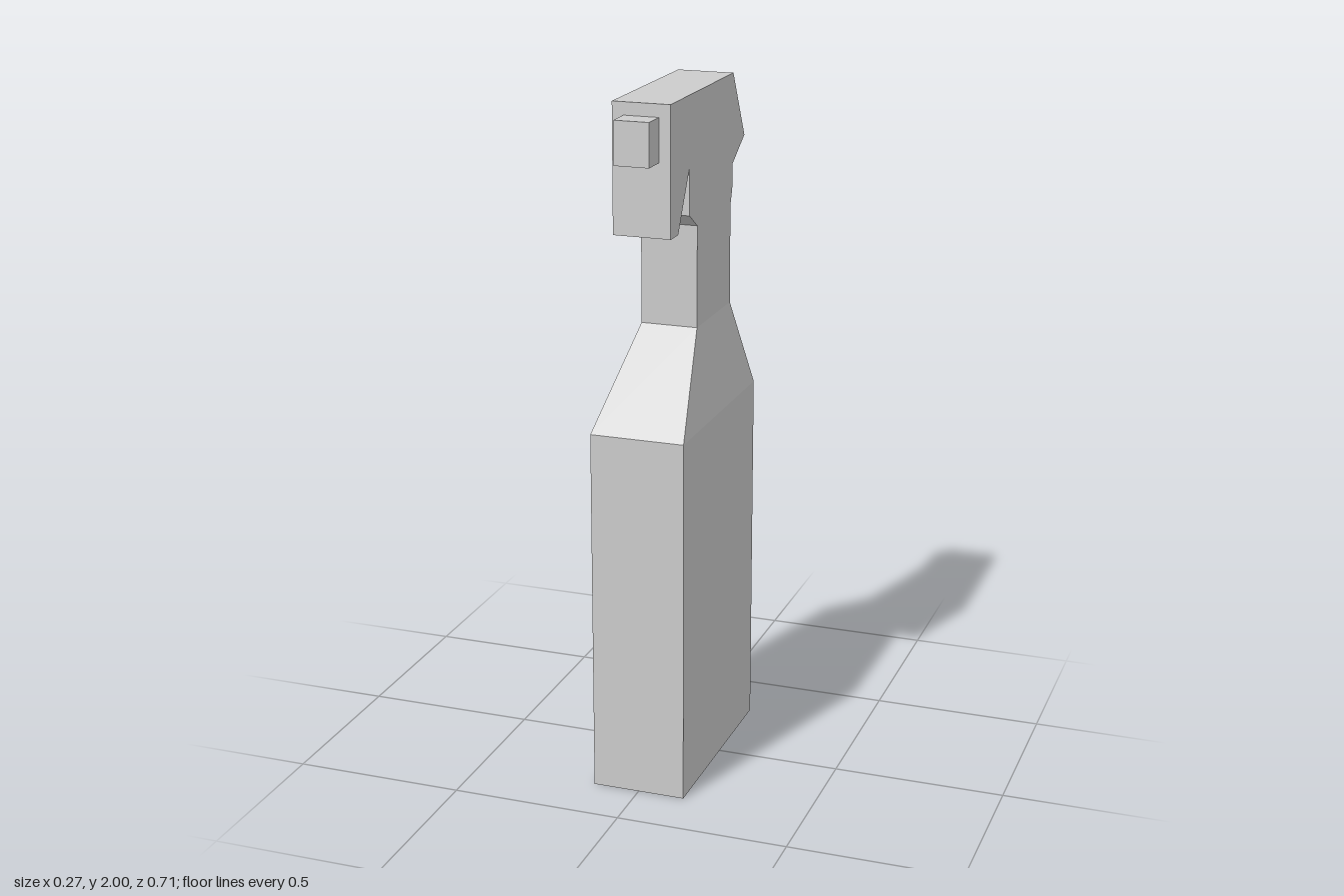
import * as THREE from 'three';

const material = new THREE.MeshStandardMaterial({ color: 0xcccccc, flatShading: true });
const HALF_NECK = 0.083;

// Rectangular cross-sections joined upwards, closed at the bottom.
function loftRects(sections) {
  const positions = [];
  const rings = sections.map(({ y, halfX, back, front }) => [
    [halfX, y, front], [halfX, y, back], [-halfX, y, back], [-halfX, y, front],
  ]);
  const quad = (a, b, c, d) => positions.push(...a, ...b, ...c, ...a, ...c, ...d);
  for (let s = 0; s < rings.length - 1; s++) {
    const low = rings[s], high = rings[s + 1];
    for (let i = 0; i < 4; i++) {
      const j = (i + 1) % 4;
      quad(low[i], low[j], high[j], high[i]);
    }
  }
  const [a, b, c, d] = rings[0];
  quad(d, c, b, a);
  const geometry = new THREE.BufferGeometry();
  geometry.setAttribute('position', new THREE.Float32BufferAttribute(positions, 3));
  geometry.computeVertexNormals();
  return geometry;
}

export function createModel() {
  const model = new THREE.Group();
  model.name = 'sprayBottle';
  const add = (name, geometry) => {
    const mesh = new THREE.Mesh(geometry, material);
    mesh.name = name;
    model.add(mesh);
    return mesh;
  };

  // Flat-sided bottle with sloping shoulders
  add('bottle', loftRects([
    { y: 0, halfX: 0.137, back: -0.3, front: 0.328 },
    { y: 1.075, halfX: 0.137, back: -0.3, front: 0.328 },
    { y: 1.332, halfX: HALF_NECK, back: -0.23, front: 0.062 },
  ]));

  // Neck, trigger and spray head share one side profile, given as (z, y)
  const profile = [
    [-0.23, 1.332], [0.062, 1.332], [0.062, 1.625], [0.127, 1.667],
    [0.127, 1.803], [0.22, 1.635], [0.28, 1.635], [0.28, 2],
    [-0.248, 2], [-0.354, 1.803], [-0.245, 1.738], [-0.245, 1.667], [-0.23, 1.622],
  ].map(([z, y]) => new THREE.Vector2(z, y));
  const head = new THREE.ExtrudeGeometry(new THREE.Shape(profile), {
    depth: 2 * HALF_NECK, bevelEnabled: false,
  });
  head.translate(0, 0, -HALF_NECK);
  head.rotateY(-Math.PI / 2);
  add('sprayHead', head);

  // Nozzle
  add('nozzle', new THREE.BoxGeometry(0.1, 0.122, 0.075)).position.set(0, 1.903, 0.3175);

  return model;
}
